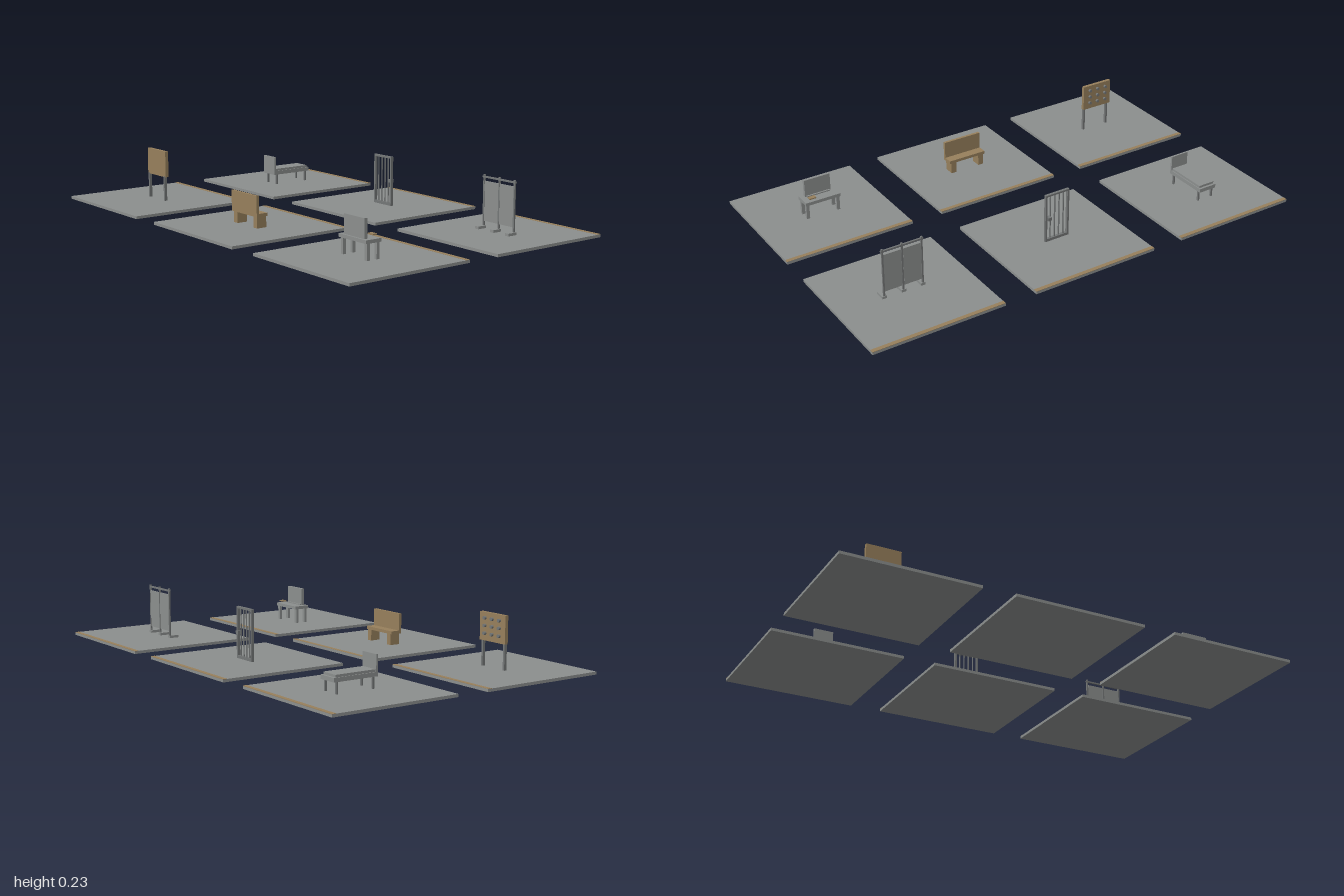
import * as THREE from 'three';

const mat = (name, color) => Object.assign(new THREE.MeshStandardMaterial({ color }), { name });

export function createModel() {
  const grey = mat('stone grey', 0x8c8f8e);
  const steel = mat('steel grey', 0x747777);
  const wood = mat('wood brown', 0x97805c);
  const model = new THREE.Group();
  model.name = 'furnitureTiles';

  // box from extents along x, y and z
  const box = (parent, name, material, [x0, x1], [y0, y1], [z0, z1]) => {
    const mesh = new THREE.Mesh(new THREE.BoxGeometry(x1 - x0, y1 - y0, z1 - z0), material);
    mesh.position.set((x0 + x1) / 2, (y0 + y1) / 2, (z0 + z1) / 2);
    mesh.name = name;
    parent.add(mesh);
    return mesh;
  };
  const around = (c, w) => [c - w / 2, c + w / 2];

  // floor tile with a wooden strip along its back edge; contents use tile-centred x and z
  const FLOOR = 0.012;
  const tile = (name, column, row) => {
    const group = new THREE.Group();
    group.name = name;
    group.position.set(column * 0.7135, 0, row * 0.356);
    box(group, 'floor', grey, [-0.2865, 0.2865], [0, FLOOR], [-0.2835, 0.2835]);
    box(group, 'edgeStrip', wood, [-0.2865, 0.2865], [FLOOR - 0.001, FLOOR + 0.001], [-0.2835, -0.266]);
    model.add(group);
    return group;
  };

  // bed
  const bed = tile('bedTile', -1, -1);
  box(bed, 'bedFrame', grey, [-0.042, 0.042], [0.058, 0.075], [-0.1, 0.1]);
  box(bed, 'mattress', grey, [-0.038, 0.038], [0.075, 0.085], [-0.09, 0.092]);
  box(bed, 'headboard', grey, [-0.042, 0.042], [0.058, 0.142], [0.093, 0.101]);
  for (const x of [-0.035, 0.035]) for (const z of [-0.083, 0.083])
    box(bed, 'bedLeg', steel, around(x, 0.008), [FLOOR, 0.058], around(z, 0.008));

  // barred gate
  const gate = tile('gateTile', 0, -1);
  for (const x of [-0.053, 0.053])
    box(gate, 'gatePost', steel, around(x, 0.008), [FLOOR, 0.228], around(-0.002, 0.012));
  box(gate, 'topRail', steel, [-0.057, 0.057], [0.22, 0.228], around(-0.002, 0.012));
  box(gate, 'bottomRail', steel, [-0.057, 0.057], [FLOOR, 0.024], around(-0.002, 0.012));
  for (let i = -1.5; i < 2; i++) {
    const bar = new THREE.Mesh(new THREE.CylinderGeometry(0.003, 0.003, 0.2, 8), steel);
    bar.position.set(i * 0.021, 0.122, -0.002);
    bar.name = 'gateBar';
    gate.add(bar);
  }
  box(gate, 'lock', steel, [0.033, 0.049], [0.113, 0.127], [-0.017, 0.002]);

  // folding screen
  const screen = tile('screenTile', 1, -1);
  for (const x of [-0.086, 0, 0.084]) {
    box(screen, 'screenPost', steel, around(x, 0.007), [FLOOR, 0.232], around(-0.002, 0.007));
    box(screen, 'screenFoot', grey, around(x, 0.02), [FLOOR, 0.023], [-0.007, 0.036]);
  }
  box(screen, 'screenRail', steel, [-0.093, 0.091], [0.219, 0.226], around(-0.002, 0.007));
  for (const x of [-0.043, 0.042])
    box(screen, 'screenPanel', grey, around(x, 0.077), [0.042, 0.206], around(-0.002, 0.005));

  // notice board with a grid of knobs on the back
  const board = tile('boardTile', -1, 1);
  box(board, 'boardPanel', wood, [-0.074, 0.074], [0.118, 0.233], [-0.009, 0.006]);
  for (const x of [-0.062, 0.065])
    box(board, 'boardPost', steel, around(x, 0.009), [FLOOR, 0.122], around(0.003, 0.012));
  for (const x of [-0.042, 0, 0.042]) for (const y of [0.148, 0.179, 0.21]) {
    const knob = new THREE.Mesh(new THREE.CylinderGeometry(0.007, 0.007, 0.01, 12), steel);
    knob.rotation.x = Math.PI / 2;
    knob.position.set(x, y, -0.014);
    knob.name = 'knob';
    board.add(knob);
  }

  // bench
  const bench = tile('benchTile', 0, 1);
  box(bench, 'benchSeat', wood, [-0.089, 0.089], [0.06, 0.073], [-0.024, 0.028]);
  box(bench, 'benchBack', wood, [-0.089, 0.089], [0.07, 0.147], [0.016, 0.028]);
  for (const x of [-0.069, 0.069])
    box(bench, 'benchLeg', wood, around(x, 0.025), [FLOOR, 0.061], [-0.024, 0.022]);

  // desk with an upright panel and a small tray
  const desk = tile('deskTile', 1, 1);
  box(desk, 'deskTop', grey, [-0.083, 0.077], [0.077, 0.091], [-0.036, 0.037]);
  for (const x of [-0.073, 0.067]) for (const z of [-0.023, 0.023])
    box(desk, 'deskLeg', grey, around(x, 0.014), [FLOOR, 0.078], around(z, 0.013));
  box(desk, 'uprightPanel', grey, [-0.062, 0.056], [0.091, 0.169], [0.014, 0.028]);
  box(desk, 'panelBase', grey, [-0.056, 0.05], [0.09, 0.096], [0.007, 0.014]);
  box(desk, 'tray', wood, [0.027, 0.057], [0.1, 0.105], [-0.032, -0.013]);

  return model;
}
